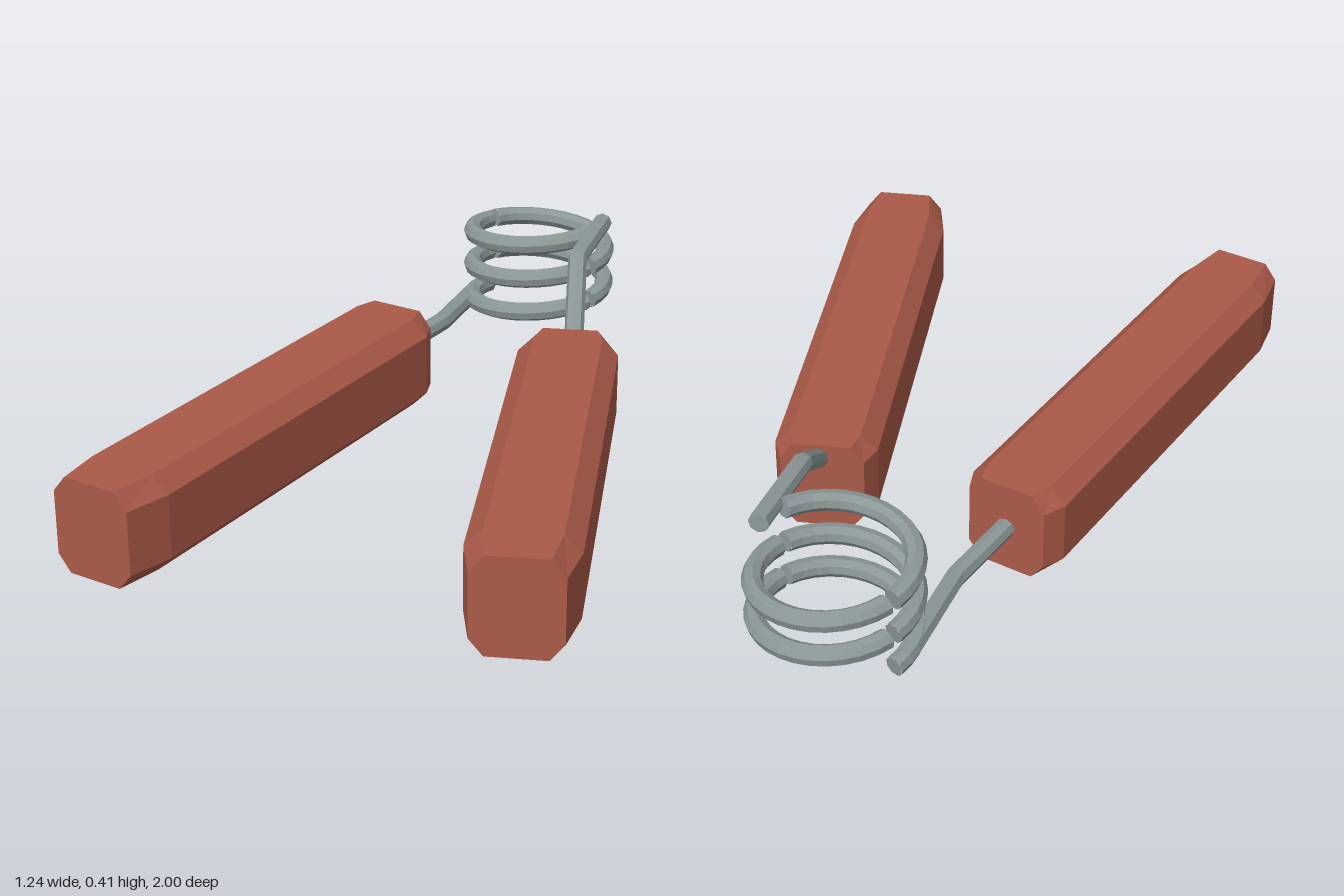
import * as THREE from 'three';
import { mergeGeometries } from 'three/addons/utils/BufferGeometryUtils.js';

const WIRE = 0.026;

// Faceted geometry with hard edges
function faceted(g) {
  const flat = g.index ? g.toNonIndexed() : g;
  flat.computeVertexNormals();
  return flat;
}

// Eight-sided wire along a curve, closed at both ends
function wireGeometry(curve, segments) {
  const parts = [new THREE.TubeGeometry(curve, segments, WIRE, 8, false)];
  for (const [t, dir] of [[0, -1], [1, 1]]) {
    const normal = curve.getTangentAt(t).multiplyScalar(dir);
    const q = new THREE.Quaternion().setFromUnitVectors(new THREE.Vector3(0, 0, 1), normal);
    const p = curve.getPointAt(t);
    parts.push(new THREE.CircleGeometry(WIRE, 8).applyQuaternion(q).translate(p.x, p.y, p.z));
  }
  return faceted(mergeGeometries(parts));
}

// Half turn of the coil, centred on the angle mid (degrees) at height y
class CoilHalf extends THREE.Curve {
  constructor(mid, y) {
    super();
    this.mid = mid;
    this.y = y;
  }
  getPoint(t, target = new THREE.Vector3()) {
    const off = (t - 0.5) * 174; // slightly short of 180, leaving a small gap
    const a = THREE.MathUtils.degToRad(this.mid - off);
    return target.set(0.19 * Math.cos(a), this.y + 0.1 * off / 360, -0.785 + 0.19 * Math.sin(a));
  }
}

// Bevelled grip: octagonal section, narrowed sideways at both ends
function gripGeometry() {
  const w = 0.133, h = 0.25, c = 0.043;
  const section = new THREE.Shape([
    [-w + c, 0], [w - c, 0], [w, c], [w, h - c],
    [w - c, h], [-w + c, h], [-w, h - c], [-w, c],
  ].map(([x, y]) => new THREE.Vector2(x, y)));
  const g = new THREE.ExtrudeGeometry(section, { depth: 3, steps: 3, bevelEnabled: false });
  const along = [-0.23, -0.17, 0.94, 1.06];
  const narrow = [0.81, 1, 1, 0.81];
  const pos = g.attributes.position;
  for (let i = 0; i < pos.count; i++) {
    const k = Math.round(pos.getZ(i));
    pos.setX(i, pos.getX(i) * narrow[k]);
    pos.setZ(i, along[k]);
  }
  return faceted(g);
}

function polyline(points) {
  const path = new THREE.CurvePath();
  const v = points.map((p) => new THREE.Vector3(...p));
  for (let i = 1; i < v.length; i++) path.add(new THREE.LineCurve3(v[i - 1], v[i]));
  return path;
}

export function createModel() {
  const model = new THREE.Group();
  model.name = 'handGripper';

  const gripRed = new THREE.MeshStandardMaterial({ color: 0xab5a48 });
  gripRed.name = 'gripRed';
  const steel = new THREE.MeshStandardMaterial({ color: 0x8b9797 });
  steel.name = 'steelGrey';

  const add = (name, geometry, material, parent = model) => {
    const mesh = new THREE.Mesh(geometry, material);
    mesh.name = name;
    parent.add(mesh);
    return mesh;
  };

  // Splayed grips
  const grip = gripGeometry();
  for (const s of [1, -1]) {
    const mesh = add(s > 0 ? 'leftGrip' : 'rightGrip', grip, gripRed);
    mesh.position.set(s * 0.295, 0, -0.063);
    mesh.rotation.y = s * THREE.MathUtils.degToRad(12);
  }

  // Coil: two and a half turns in five half-turn pieces
  const coil = new THREE.Group();
  coil.name = 'springCoil';
  model.add(coil);
  for (let i = 0; i < 5; i++) {
    const half = new CoilHalf(116 - 180 * i, 0.143 + 0.05 * i);
    add('coilHalf' + (i + 1), wireGeometry(half, 16), steel, coil);
  }

  // Wire legs from the coil into the grips; the upper one slopes down
  const upper = polyline([[0.19, 0.38, -0.78], [0.196, 0.367, -0.515], [0.265, 0.19, -0.26]]);
  add('leftLeg', wireGeometry(upper, 24), steel);
  const lower = polyline([[-0.19, 0.125, -0.78], [-0.196, 0.125, -0.515], [-0.265, 0.125, -0.2]]);
  add('rightLeg', wireGeometry(lower, 24), steel);

  return model;
}
